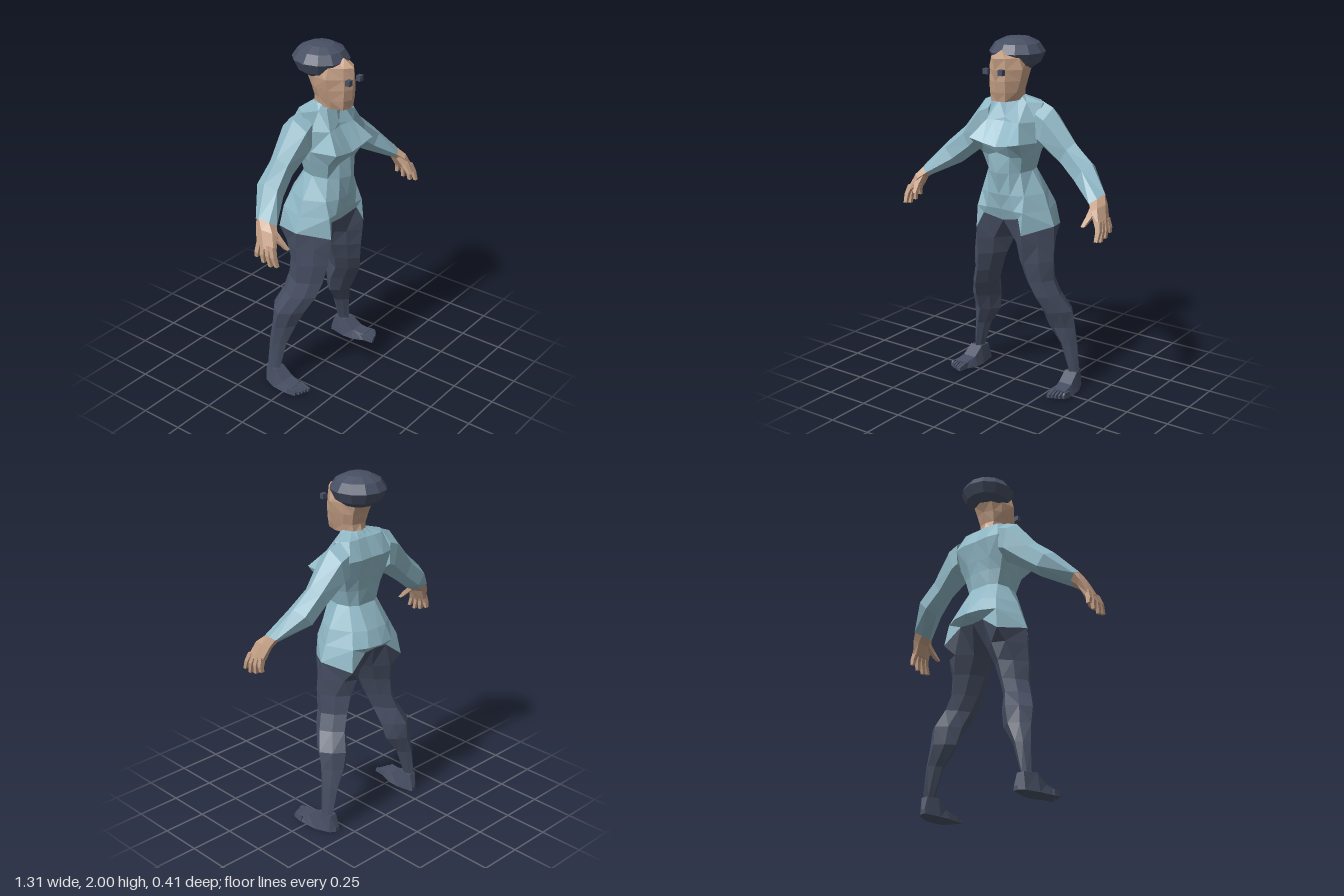
import * as THREE from 'three';

const mats = {};
for (const [name, color] of [['shirt', 0x90b8c6], ['skin', 0xc49f85], ['navy', 0x474f63]]) {
  mats[name] = new THREE.MeshStandardMaterial({ color });
  mats[name].name = name;
}

const gap = (p, q) => Math.hypot(p[0] - q[0], p[1] - q[1], p[2] - q[2]);

// Closed skin through rings of [x,y,z] points, faceted, wound outwards
function loft(rings) {
  const tris = [];
  const n = rings[0].length;
  const mid = r => [0, 1, 2].map(a => r.reduce((s, p) => s + p[a], 0) / n);
  const last = rings[rings.length - 1];
  const c0 = mid(rings[0]), c1 = mid(last);
  for (let j = 0; j < n; j++) {
    const k = (j + 1) % n;
    for (let i = 0; i < rings.length - 1; i++) {
      const a = rings[i][j], b = rings[i][k], c = rings[i + 1][k], d = rings[i + 1][j];
      if (gap(a, c) < gap(b, d)) tris.push([a, b, c], [a, c, d]);
      else tris.push([a, b, d], [b, c, d]);
    }
    tris.push([c0, rings[0][k], rings[0][j]], [c1, last[j], last[k]]);
  }
  let volume = 0;
  for (const t of tris) {
    const [a, b, c] = t.map(p => new THREE.Vector3(...p));
    volume += a.dot(b.cross(c));
  }
  if (volume < 0) tris.forEach(t => t.reverse());
  const g = new THREE.BufferGeometry();
  g.setAttribute('position', new THREE.Float32BufferAttribute(tris.flat(2), 3));
  g.computeVertexNormals();
  return g;
}

// Half outline, front centre to back centre, mirrored into a full ring
function mirrored(y, half) {
  const pts = half.map(p => (p.length === 3 ? p : [p[0], y, p[1]]));
  const other = pts.slice(1, -1).reverse().map(([x, py, z]) => [-x, py, z]);
  return [...pts, ...other];
}

// Level ring with n sides filling a rectangle of x and z
function level(y, x0, x1, z0, z1, n = 8, square = 0.82) {
  return Array.from({ length: n }, (_, i) => {
    const a = (i / n) * Math.PI * 2 + (n === 4 ? Math.PI / 4 : 0);
    const k = n === 4 ? Math.SQRT2 : i % 2 ? square : 1;
    return [(x0 + x1) / 2 + Math.cos(a) * k * (x1 - x0) / 2, y,
      (z0 + z1) / 2 + Math.sin(a) * k * (z1 - z0) / 2];
  });
}

// Rectangular ring across z, a little narrower on top
function upright(z, x0, x1, y0, y1) {
  const t = (x1 - x0) * 0.15;
  return [[x0, y0, z], [x1, y0, z], [x1 - t, y1, z], [x0 + t, y1, z]];
}

// Six-sided arm ring between a top and a bottom point, tilted in z
function armRing([tx, ty, bx, by, zc, zh, tilt = 0]) {
  return Array.from({ length: 6 }, (_, i) => {
    const a = (i / 6) * Math.PI * 2, c = Math.cos(a) / 2;
    return [(tx + bx) / 2 + (tx - bx) * c, (ty + by) / 2 + (ty - by) * c,
      zc + Math.sin(a) * zh * 1.15 + tilt * c];
  });
}

export function createModel() {
  const model = new THREE.Group();
  model.name = 'figure';
  const add = (name, geometry, mat, parent = model) => {
    const m = new THREE.Mesh(geometry, mats[mat]);
    m.name = name;
    parent.add(m);
    return m;
  };

  // Shirt body, from the split hem up to the collar
  add('shirtBody', loft([
    mirrored(0, [[0, 1.0, 0.11], [0.115, 1.03, 0.135], [0.15, 0.945, 0.158], [0.262, 0.98, 0], [0.19, 0.945, -0.172], [0.08, 1.03, -0.16], [0, 1.03, -0.15]]),
    mirrored(1.07, [[0, 0.135], [0.09, 0.145], [0.15, 0.145], [0.228, 0], [0.17, -0.155], [0.09, -0.195], [0, -0.208]]),
    mirrored(1.157, [[0, 0.155], [0.07, 0.15], [0.14, 0.115], [0.197, 0], [0.14, -0.12], [0.07, -0.165], [0, -0.17]]),
    mirrored(1.28, [[0, 0.178], [0.065, 0.15], [0.107, 0.1], [0.125, 0.01], [0.105, -0.06], [0.06, -0.09], [0, -0.09]]),
    mirrored(1.37, [[0, 1.395, 0.17], [0.07, 0.15], [0.13, 0.122], [0.15, 0.01], [0.13, -0.065], [0.07, -0.095], [0, -0.1]]),
    mirrored(1.44, [[0, 1.425, 0.185], [0.08, 1.44, 0.192], [0.163, 1.46, 0.2], [0.165, 0.03], [0.155, -0.08], [0.08, -0.11], [0, -0.11]]),
    mirrored(1.555, [[0, 0.1], [0.06, 0.11], [0.105, 0.115], [0.16, 0.03], [0.155, -0.12], [0.08, -0.135], [0, -0.13]]),
    mirrored(1.655, [[0, 1.575, 0.095], [0.06, 0.06], [0.1, 0.035], [0.17, -0.02], [0.12, -0.08], [0.06, -0.085], [0, -0.08]]),
    mirrored(1.685, [[0, 0.068], [0.04, 0.06], [0.065, 0.03], [0.07, 0], [0.055, -0.03], [0.03, -0.045], [0, -0.05]]),
  ]), 'shirt');

  // Head and nape, with a wedge-shaped face
  add('head', loft([
    mirrored(1.67, [[0, 0.165], [0.045, 0.155], [0.067, 0.09], [0.065, 0.02], [0.045, -0.035], [0, -0.055]]),
    mirrored(1.72, [[0, 0.178], [0.05, 0.16], [0.083, 0.1], [0.073, 0.02], [0.05, -0.03], [0, -0.04]]),
    mirrored(1.78, [[0, 0.183], [0.05, 0.165], [0.098, 0.09], [0.085, 0], [0.06, -0.045], [0, -0.062]]),
    mirrored(1.84, [[0, 0.19], [0.05, 0.16], [0.109, 0.085], [0.092, 0], [0.065, -0.07], [0, -0.1]]),
    mirrored(1.9, [[0, 0.19], [0.045, 0.155], [0.09, 0.09], [0.085, 0], [0.065, -0.08], [0, -0.1]]),
    mirrored(1.94, [[0, 0.125], [0.025, 1.925, 0.11], [0.05, 1.91, 0.07], [0.06, 0], [0.05, -0.05], [0, -0.07]]),
  ]), 'skin');

  // Round soft cap
  const cap = new THREE.LatheGeometry([[0, 1.83], [0.085, 1.831], [0.128, 1.86], [0.157, 1.917], [0.125, 1.965], [0.07, 1.992], [0, 2]]
    .map(p => new THREE.Vector2(...p)), 12).toNonIndexed();
  cap.scale(0.97, 1, 1).translate(0, 0, -0.024);
  cap.computeVertexNormals();
  add('cap', cap, 'navy');

  for (const s of [1, -1]) {
    const side = new THREE.Group();
    side.name = s > 0 ? 'leftSide' : 'rightSide';
    model.add(side);
    const part = (name, rings, mat) =>
      add(name, loft(rings.map(r => r.map(([x, y, z]) => [x * s, y, z]))), mat, side);

    // Eye block
    add('eye', new THREE.BoxGeometry(0.03, 0.03, 0.026), 'navy', side).position.set(0.048 * s, 1.833, 0.193);

    // Sleeve
    part('sleeve', [
      [0.155, 1.658, 0.15, 1.41, -0.04, 0.075],
      [0.225, 1.63, 0.178, 1.397, -0.036, 0.08],
      [0.365, 1.457, 0.285, 1.322, -0.038, 0.058],
      [0.48, 1.358, 0.385, 1.245, -0.028, 0.068],
      [0.6, 1.222, 0.53, 1.17, 0.053, 0.045, -0.045],
    ].map(armRing), 'shirt');

    // Palm, fingers and thumb
    part('palm', [
      [0.597, 1.226, 0.53, 1.17, 0.053, 0.042, -0.045],
      [0.622, 1.18, 0.565, 1.145, 0.08, 0.055, -0.03],
      [0.65, 1.095, 0.6, 1.085, 0.102, 0.056],
    ].map(armRing), 'skin');
    [[0.06, 0.05, 1.03], [0.087, 0.095, 1.01], [0.114, 0.14, 1.0], [0.142, 0.18, 1.01]].forEach(([z0, z1, tip]) => {
      const zm = (z0 + z1) / 2;
      part('finger', [
        level(1.11, 0.61, 0.642, z0 - 0.013, z0 + 0.013, 4),
        level(1.06, 0.628, 0.654, zm - 0.012, zm + 0.012, 4),
        level(tip, 0.63, 0.65, z1 - 0.009, z1 + 0.009, 4),
      ], 'skin');
    });
    part('thumb', [
      level(1.17, 0.56, 0.6, 0.07, 0.115, 4),
      level(1.125, 0.56, 0.592, 0.125, 0.16, 4),
      level(1.08, 0.553, 0.573, 0.175, 0.197, 4),
    ], 'skin');

    // Trouser leg: two rings that follow the hem, then y, inner x, outer x, back z, front z
    part('leg', [
      [[0.262, 0.98, 0], [0.206, 0.9625, 0.079], [0.15, 0.945, 0.158], [0.115, 1.03, 0.135],
        [0, 1.0, 0.11], [0, 1.03, -0.15], [0.08, 1.03, -0.16], [0.19, 0.945, -0.172]],
      [[0.262, 0.88, 0], [0.21, 0.88, 0.082], [0.152, 0.88, 0.152], [0.075, 0.88, 0.095],
        [0, 0.88, 0], [0.05, 0.88, -0.08], [0.13, 0.88, -0.148], [0.2, 0.88, -0.115]],
      ...[
        [0.78, 0.045, 0.264, -0.122, 0.14],
        [0.67, 0.09, 0.264, -0.115, 0.12],
        [0.58, 0.125, 0.295, -0.13, 0.095],
        [0.48, 0.145, 0.345, -0.175, 0.04],
        [0.38, 0.165, 0.35, -0.17, -0.01],
        [0.27, 0.245, 0.357, -0.165, -0.045],
        [0.1, 0.305, 0.367, -0.157, -0.07],
      ].map(r => level(...r)),
    ], 'navy');

    // Foot and toes
    part('foot', [
      upright(-0.178, 0.298, 0.33, 0.005, 0.03),
      upright(-0.155, 0.295, 0.358, 0.005, 0.105),
      upright(-0.075, 0.28, 0.39, 0.005, 0.112),
      upright(-0.01, 0.28, 0.398, 0.008, 0.063),
      upright(0.06, 0.297, 0.403, 0.015, 0.05),
    ], 'navy');
    [0.128, 0.118, 0.113, 0.105, 0.092].forEach((tip, i) => {
      const x = 0.314 + i * 0.0195, w = i ? 0.009 : 0.014;
      part('toe', [
        upright(0.03, x - w, x + w, 0.015, 0.045),
        upright(0.08, x - w, x + w, 0.017, 0.05),
        upright(tip, x - w * 0.8, x + w * 0.8, 0.02, 0.038),
      ], 'navy');
    });
  }
  return model;
}
